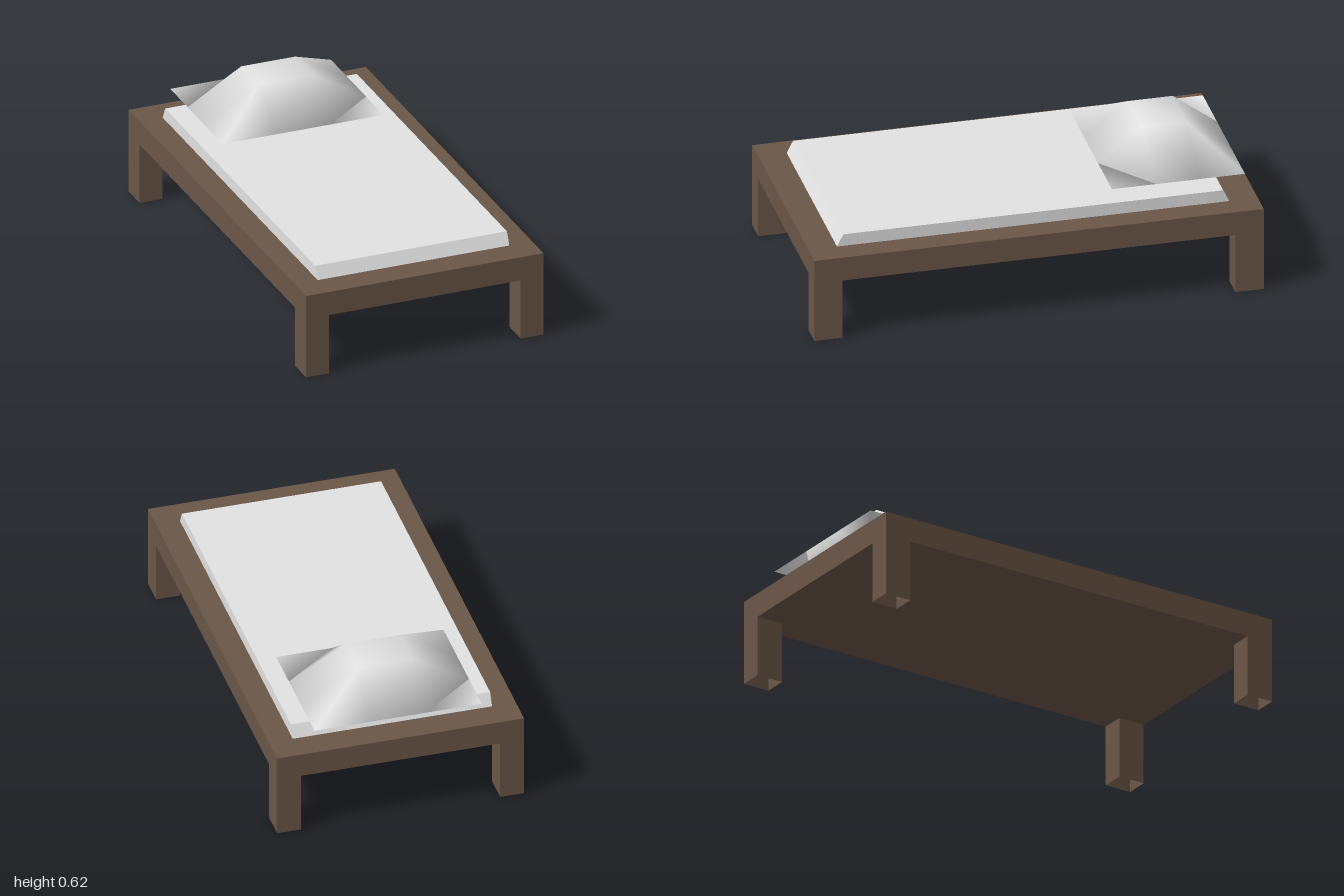
import * as THREE from 'three';
import { mergeVertices } from 'three/addons/utils/BufferGeometryUtils.js';

const wood = new THREE.MeshStandardMaterial({ color: 0x6a5647, side: THREE.DoubleSide });
wood.name = 'brown wood';
const linen = new THREE.MeshStandardMaterial({ color: 0xe2e2e2 });
linen.name = 'pale linen';

const HALF_W = 0.555, LEG_H = 0.279, FRAME_TOP = 0.39, MATTRESS_TOP = 0.446;

function addMesh(group, name, geometry, material, x = 0, y = 0, z = 0) {
  const mesh = new THREE.Mesh(geometry, material);
  mesh.name = name;
  mesh.position.set(x, y, z);
  group.add(mesh);
  return mesh;
}

// Four-sided leg, open at both ends
function legGeometry(w, h, d) {
  const geo = new THREE.BoxGeometry(w, h, d);
  const index = Array.from(geo.index.array);
  index.splice(12, 12); // top and bottom faces
  geo.setIndex(index);
  geo.clearGroups();
  return geo;
}

// Mattress with sloped head and foot ends
function mattressGeometry() {
  const width = 0.896;
  const shape = new THREE.Shape([
    new THREE.Vector2(-0.873, FRAME_TOP),
    new THREE.Vector2(0.873, FRAME_TOP),
    new THREE.Vector2(0.845, MATTRESS_TOP),
    new THREE.Vector2(-0.845, MATTRESS_TOP),
  ]);
  const geo = new THREE.ExtrudeGeometry(shape, { depth: width, bevelEnabled: false });
  geo.translate(0, 0, -width / 2);
  geo.rotateY(-Math.PI / 2);
  return geo;
}

// Cushion: a 3 x 3 grid pinched to a seam, centre raised and lowered
function pillowGeometry() {
  const w = 0.752, d = 0.592;
  const geo = new THREE.BoxGeometry(w, 1, d, 3, 1, 3);
  const pos = geo.attributes.position;
  for (let i = 0; i < pos.count; i++) {
    const inner = Math.abs(pos.getX(i)) < w * 0.4 && Math.abs(pos.getZ(i)) < d * 0.4;
    pos.setY(i, !inner ? 0 : pos.getY(i) > 0 ? 0.15 : -0.095);
  }
  geo.deleteAttribute('normal');
  geo.deleteAttribute('uv');
  geo.clearGroups();
  const merged = mergeVertices(geo, 1e-4);
  merged.computeVertexNormals();
  return merged;
}

export function createModel() {
  const bed = new THREE.Group();
  bed.name = 'bed';

  // Frame slab
  const frameH = FRAME_TOP - LEG_H;
  addMesh(bed, 'frame', new THREE.BoxGeometry(HALF_W * 2, frameH, 2), wood, 0, LEG_H + frameH / 2, 0);

  // Corner legs
  const legW = 0.107, legD = 0.126;
  const legGeo = legGeometry(legW, LEG_H, legD);
  for (const [sx, side] of [[1, 'Left'], [-1, 'Right']]) {
    for (const [sz, end] of [[1, 'front'], [-1, 'back']]) {
      addMesh(bed, `${end}${side}Leg`, legGeo, wood,
        sx * (HALF_W - legW / 2), LEG_H / 2, sz * (1 - legD / 2));
    }
  }

  // Bedding
  addMesh(bed, 'mattress', mattressGeometry(), linen);
  addMesh(bed, 'pillow', pillowGeometry(), linen, 0, 0.475, -0.665);

  return bed;
}
